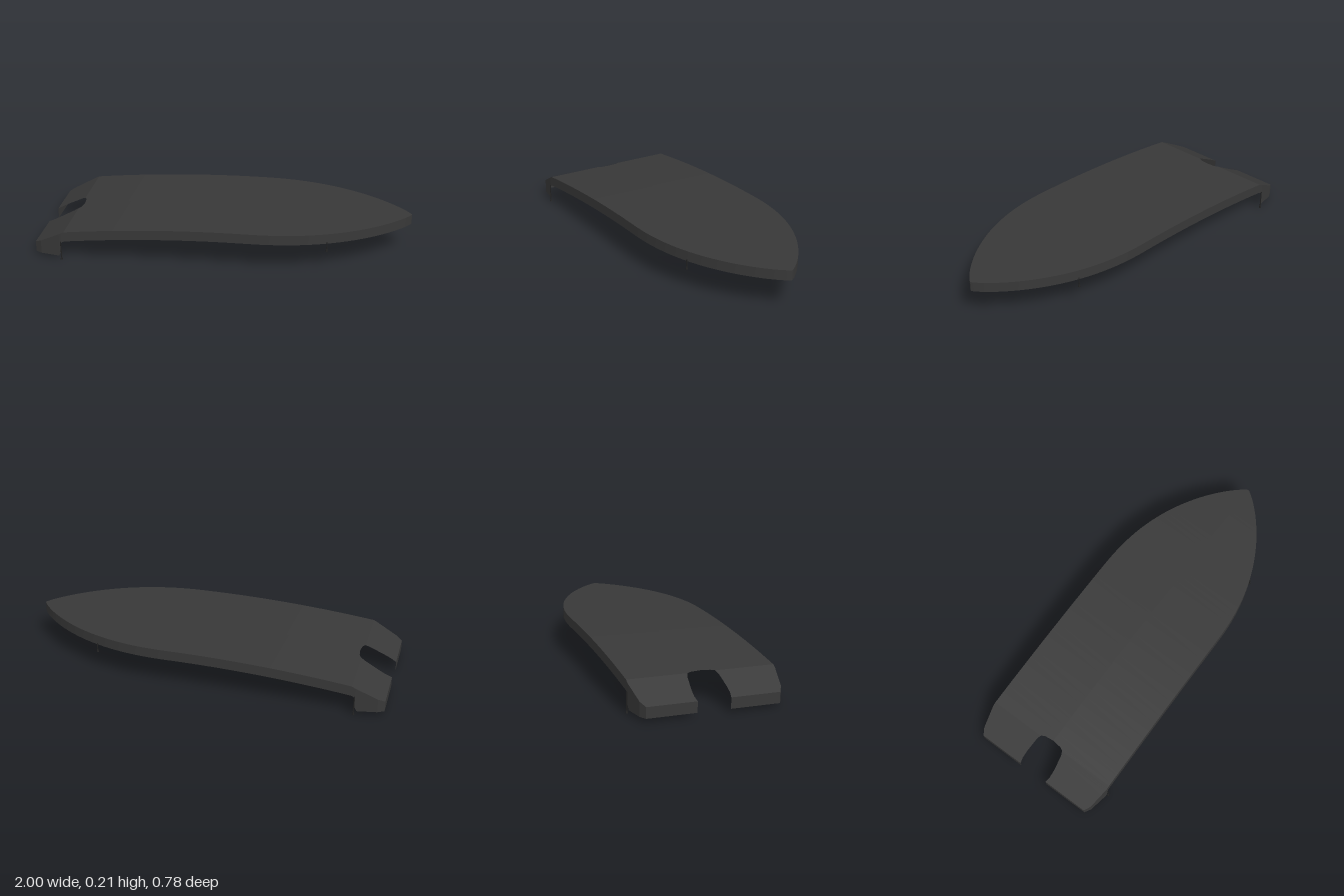
import * as THREE from 'three';
import { toCreasedNormals } from 'three/addons/utils/BufferGeometryUtils.js';

const V = (x, y, z) => new THREE.Vector3(x, y, z);

// Piecewise linear lookup in a list of [x, value]
function lookup(table, x) {
  for (let i = 1; i < table.length; i++) {
    const [x0, v0] = table[i - 1], [x1, v1] = table[i];
    if (x <= x1) return v0 + (v1 - v0) * (x - x0) / (x1 - x0);
  }
  return table[table.length - 1][1];
}

const NOTCH = [[-1, 0.085], [-0.97, 0.091], [-0.93, 0.09], [-0.85, 0.08], [-0.828, 0.07], [-0.818, 0.05], [-0.812, 0]];
const STERN_WIDTH = [[-1, 0.34], [-0.965, 0.36], [-0.85, 0.381]];
const FLAP_BOTTOM = [[-1, 0.018], [-0.862, 0.018], [-0.852, 0.04], [-0.845, 0.103]];
const RAMP_X = -0.83;

// Height of the cover along its length
function topY(x) {
  if (x < RAMP_X) return 0.075 + (0.16 - 0.075) * (x + 1) / (RAMP_X + 1);
  return x < 0.1 ? 0.215 - 0.055 * ((0.1 - x) / 0.93) ** 2 : 0.215 - 0.007 * ((x - 0.1) / 0.9) ** 1.5;
}

// Half width: tapered stern, straight middle, rounded point at the bow
function halfWidth(x) {
  if (x < 0.15) return lookup(STERN_WIDTH, x);
  const t = Math.min(1, (x - 0.15) / 0.85);
  return 0.381 * (1 - t ** 2.2) ** 0.85;
}

const skirtBottom = (x) => (x < -0.845 ? lookup(FLAP_BOTTOM, x) : topY(x) - 0.054);
const notchWidth = (x) => lookup(NOTCH, x);

// Strip of quads between two rows of points
function ribbon(a, b) {
  const pos = [], index = [];
  a.forEach((p, i) => {
    pos.push(...p.toArray(), ...b[i].toArray());
    if (i) {
      const k = 2 * i;
      index.push(k - 2, k - 1, k, k - 1, k + 1, k);
    }
  });
  const g = new THREE.BufferGeometry();
  g.setAttribute('position', new THREE.Float32BufferAttribute(pos, 3));
  g.setIndex(index);
  return toCreasedNormals(g, 0.28);
}

export function createModel() {
  const model = new THREE.Group();
  const canvas = new THREE.MeshStandardMaterial({ color: 0x383838, side: THREE.DoubleSide });
  canvas.name = 'charcoal canvas';
  const black = new THREE.MeshStandardMaterial({ color: 0x222222 });
  black.name = 'black strap';

  const add = (name, geometry, material, parent = model) => {
    const mesh = new THREE.Mesh(geometry, material);
    mesh.name = name;
    parent.add(mesh);
    return mesh;
  };

  // Stations along the length, closer together at the stern and the bow
  const xs = [-1, -0.985, -0.97, -0.965, -0.93, -0.89, -0.862, -0.852, -0.845, RAMP_X, -0.828, -0.818, -0.812];
  for (let i = 1; i <= 20; i++) xs.push(-0.812 + 0.962 * i / 20);
  for (let i = 1; i <= 36; i++) xs.push(0.15 + 0.85 * Math.sin(i / 36 * Math.PI / 2));

  for (const s of [1, -1]) {
    const side = s > 0 ? 'left' : 'right';
    const sheet = (name, a, b) => add(name, s > 0 ? ribbon(a, b) : ribbon(b, a), canvas);

    // Top sheet, with the notch cut from its inner edge
    const inner = xs.map((x) => V(x, topY(x), s * notchWidth(x)));
    const outer = xs.map((x) => V(x, topY(x), s * halfWidth(x)));
    sheet(side + 'TopSheet', inner, outer);

    // Hanging side skirt, deeper at the stern flap
    sheet(side + 'Skirt', outer, xs.map((x) => V(x, skirtBottom(x), s * halfWidth(x))));

    // Stern wall beside the notch
    sheet(side + 'SternWall',
      [V(-1, 0.075, s * 0.085), V(-1, 0.075, s * 0.34)],
      [V(-1, 0.018, s * 0.085), V(-1, 0.018, s * 0.34)]);

    // Tie-down straps with a small toggle at the end
    for (const [name, x, low, high] of [['Stern', -0.848, 0, 0.105], ['Bow', 0.562, 0.115, 0.168]]) {
      const strap = new THREE.Group();
      strap.name = side + name + 'Strap';
      strap.position.set(x, 0, s * (halfWidth(x) + 0.003));
      const cord = add('cord', new THREE.CylinderGeometry(0.003, 0.003, high - low, 8), black, strap);
      cord.position.y = (low + high) / 2;
      const toggle = add('toggle', new THREE.CylinderGeometry(0.004, 0.006, 0.014, 10), black, strap);
      toggle.position.y = low + 0.007;
      model.add(strap);
    }
  }
  return model;
}
